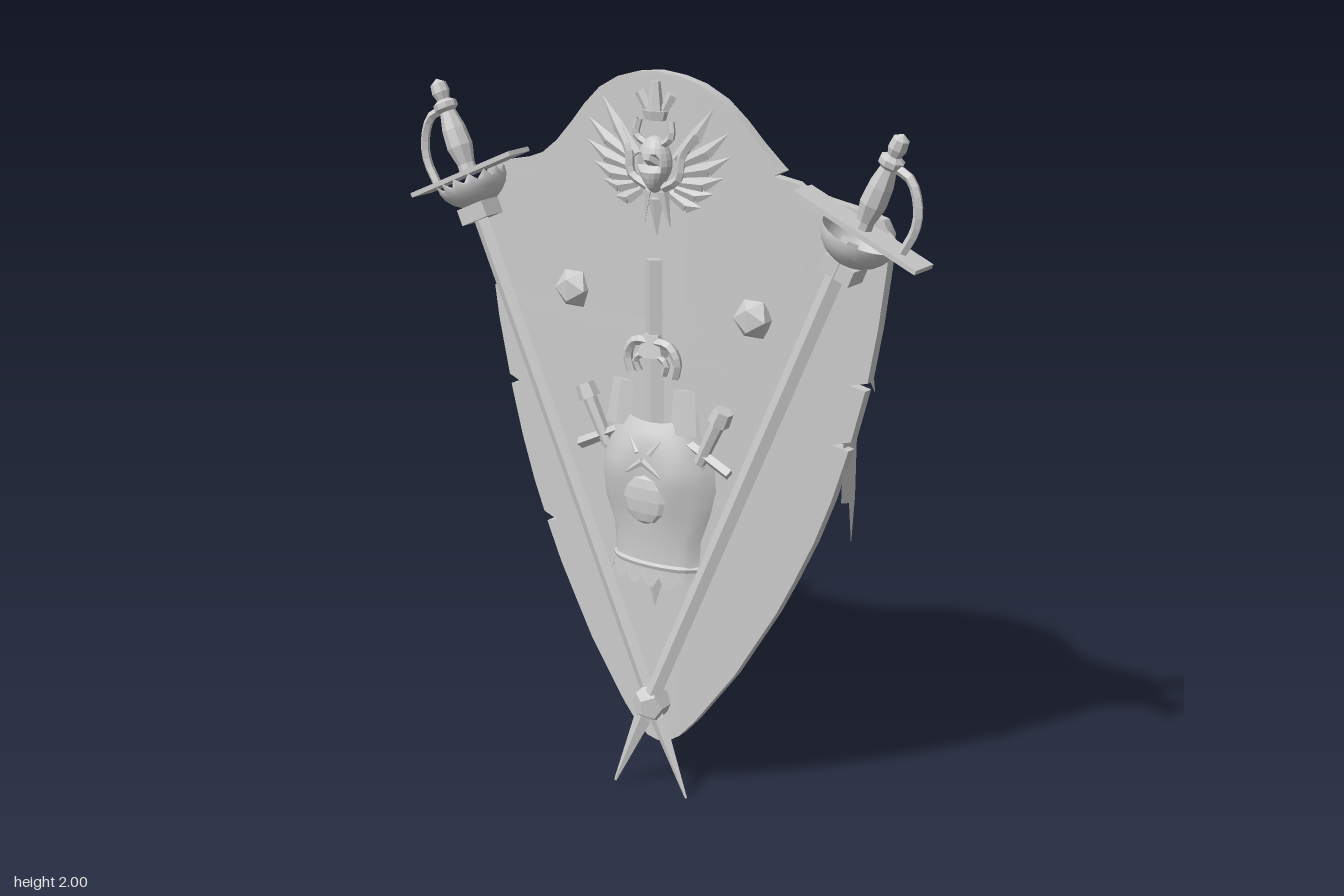
import * as THREE from 'three';
import { toCreasedNormals } from 'three/addons/utils/BufferGeometryUtils.js';

const smooth = new THREE.MeshStandardMaterial({ color: 0xcccccc, side: THREE.DoubleSide });
const flat = new THREE.MeshStandardMaterial({ color: 0xcccccc, flatShading: true, side: THREE.DoubleSide });
const V = (x, y, z = 0) => new THREE.Vector3(x, y, z);

function add(parent, name, geo, mat = flat, pos = V(0, 0)) {
  const m = new THREE.Mesh(geo, mat);
  m.name = name;
  m.position.copy(pos);
  parent.add(m);
  return m;
}
function group(parent, name) {
  const g = new THREE.Group();
  g.name = name;
  parent.add(g);
  return g;
}
// Tapered bar from p to q, flattened in depth
function bar(parent, name, p, q, r0, r1, squash = 0.5, sides = 4) {
  const d = q.clone().sub(p);
  const geo = new THREE.CylinderGeometry(r1, r0, d.length(), sides).scale(1, 1, squash);
  const m = add(parent, name, geo, flat, p.clone().add(q).multiplyScalar(0.5));
  m.quaternion.setFromUnitVectors(V(0, 1), d.normalize());
  return m;
}
function tube(parent, name, pts, r, segs = 10) {
  return add(parent, name, new THREE.TubeGeometry(new THREE.CatmullRomCurve3(pts), segs, r, 5));
}
// Skin over rings listed bottom to top
function loft(rings, closed, crease) {
  const n = rings[0].length, idx = [];
  for (let j = 0; j < rings.length - 1; j++)
    for (let i = 0; i < (closed ? n : n - 1); i++) {
      const k = (i + 1) % n, a = j * n + i, b = j * n + k, c = b + n, d = a + n;
      idx.push(a, b, c, a, c, d);
    }
  const geo = new THREE.BufferGeometry().setFromPoints(rings.flat());
  geo.setIndex(idx);
  return toCreasedNormals(geo, crease);
}
function lerpProfile(profile, y) {
  const i = Math.max(1, profile.findIndex(p => p[0] >= y));
  const [y0, w0] = profile[i - 1], [y1, w1] = profile[i];
  return w0 + (w1 - w0) * (y - y0) / (y1 - y0);
}

const frontZ = x => 0.055 - 0.08 * Math.pow(Math.abs(x) / 0.62, 1.5);

// Bowed plate with nicks cut in its edges
function shield(root) {
  const profile = [[0.135, 0], [0.142, 0.035], [0.165, 0.07], [0.22, 0.12], [0.3, 0.18], [0.38, 0.24], [0.48, 0.3],
    [0.58, 0.36], [0.68, 0.41], [0.8, 0.465], [0.92, 0.51], [1.05, 0.55], [1.25, 0.6], [1.4, 0.625], [1.55, 0.643],
    [1.64, 0.648], [1.675, 0.63], [1.695, 0.57], [1.715, 0.48], [1.74, 0.41], [1.78, 0.355], [1.84, 0.295],
    [1.89, 0.25], [1.94, 0.195], [1.975, 0.13], [1.992, 0.07], [2, 0]];
  const nicks = { left: [1.35, 1.075, 0.7], right: [1.24, 1.075, 1.76] };
  const ys = profile.map(p => p[0]);
  for (const y of [...nicks.left, ...nicks.right]) ys.push(y - 0.012, y, y + 0.014);
  const rows = [...new Set(ys)].sort((a, b) => a - b);
  const N = 20;
  const rings = rows.map(y => {
    const w = lerpProfile(profile, y);
    const wl = w - (nicks.left.includes(y) ? 0.045 : 0), wr = w - (nicks.right.includes(y) ? 0.045 : 0);
    const front = [], back = [];
    for (let i = 0; i <= N; i++) {
      const x = -wl + (wl + wr) * i / N;
      front.push(V(x, y, frontZ(x)));
      back.unshift(V(x, y, frontZ(x) - 0.03));
    }
    return [...front, ...back];
  });
  add(root, 'shieldPlate', loft(rings, true, 0.6), smooth);

  for (const s of [-1, 1]) {
    const stud = add(root, 'stud', new THREE.IcosahedronGeometry(0.057, 0), flat, V(s * 0.29, 1.385, 0.035));
    stud.scale.z = 0.75;
  }
  add(root, 'crossingBoss', new THREE.DodecahedronGeometry(0.054, 0), flat, V(0, 0.26, 0.085));
  bar(root, 'bossBolt', V(0, 0.26, 0.06), V(0, 0.26, 0), 0.036, 0.028, 1, 6);

  // Torn scrap hanging behind the edge
  const scrap = new THREE.Shape([[0.03, 1.45], [0.06, 1.43], [0.13, 1.34], [0.155, 1.26], [0.17, 1.18], [0.14, 1.22],
    [0.085, 1.3], [0.08, 0.92], [0.065, 0.79], [0.05, 0.91], [0.01, 0.92]].map(p => new THREE.Vector2(...p)));
  add(root, 'tornScrap', new THREE.ShapeGeometry(scrap).rotateY(Math.PI / 2), smooth, V(0.537, 0, 0));
}

// Basket-hilted sword, tip at the local origin; side -1 has its hilt on -x
function sword(root, side) {
  const g = group(root, side < 0 ? 'rightSword' : 'leftSword');
  g.position.set(-side * 0.115, 0, 0.065);
  g.rotation.z = -side * 0.417;
  const bz = side < 0 ? 0.018 : 0.036;
  bar(g, 'bladeTip', V(0, 0, bz), V(0, 0.24, bz), 0.004, 0.027, 0.45);
  bar(g, 'blade', V(0, 0.24, bz), V(0, 1.8, bz), 0.024, 0.026, 0.5);
  add(g, 'bladeClip', new THREE.BoxGeometry(0.095, 0.045, 0.07), flat, V(0, 1.715, 0.012));

  const dome = new THREE.SphereGeometry(0.1, 28, 6, 0, Math.PI * 2, Math.PI / 2, Math.PI / 2).scale(1, 0.88, 1);
  if (side < 0) { // chipped rim
    const p = dome.attributes.position;
    for (let i = 1; i < 28; i += 2) p.setXYZ(i, p.getX(i) * 0.87, -0.02, p.getZ(i) * 0.87);
    dome.computeVertexNormals();
  }
  add(g, 'cupGuard', dome, smooth, V(0, 1.815, 0));
  add(g, 'crossGuard', new THREE.BoxGeometry(0.385, 0.013, 0.085), flat, V(0, 1.825, 0));

  const grip = [[0, 1.82], [0.026, 1.82], [0.024, 1.85], [0.036, 1.9], [0.033, 1.95], [0.022, 2], [0.033, 2.01],
    [0.033, 2.025], [0.018, 2.035], [0.025, 2.055], [0.022, 2.08], [0, 2.095]];
  add(g, 'grip', new THREE.LatheGeometry(grip.map(p => new THREE.Vector2(...p)), 8));
  tube(g, 'knuckleBow', [[0.01, 2.01], [0.065, 2.005], [0.112, 1.955], [0.13, 1.9], [0.124, 1.83]]
    .map(([x, y]) => V(side * x, y)), 0.013);
}

// Winged skull with crown
function emblem(root) {
  const g = group(root, 'wingedSkullEmblem');
  const feathers = [[0.06, 1.78, 0.175, 1.92], [0.08, 1.77, 0.22, 1.86], [0.08, 1.745, 0.225, 1.8],
    [0.07, 1.72, 0.205, 1.745], [0.06, 1.705, 0.175, 1.7], [0.045, 1.69, 0.135, 1.66]];
  for (const s of [-1, 1]) {
    for (const [x0, y0, x1, y1] of feathers) {
      const a = V(s * x0, y0, 0.06), b = V(s * x1, y1, 0.052), m = a.clone().lerp(b, 0.55);
      m.y -= 0.012;
      bar(g, 'featherRoot', a, m, 0.012, 0.019);
      bar(g, 'featherTip', m, b, 0.019, 0.001);
    }
    tube(g, 'wingArm', [V(s * 0.025, 1.7, 0.06), V(s * 0.075, 1.73, 0.065), V(s * 0.085, 1.79, 0.062),
      V(s * 0.125, 1.85, 0.055)], 0.013);
    tube(g, 'horn', [V(s * 0.02, 1.81, 0.065), V(s * 0.055, 1.835, 0.07), V(s * 0.05, 1.875, 0.065)], 0.011, 6);
    bar(g, 'tailFeather', V(s * 0.025, 1.69, 0.06), V(s * 0.04, 1.6, 0.055), 0.018, 0.002);
    bar(g, 'crownSide', V(s * 0.025, 1.9, 0.06), V(s * 0.052, 1.945, 0.06), 0.012, 0.016);
  }
  bar(g, 'tailPoint', V(0, 1.67, 0.062), V(0, 1.57, 0.055), 0.026, 0.001);
  bar(g, 'crownBand', V(0, 1.875, 0.06), V(0, 1.9, 0.06), 0.032, 0.042, 0.6, 6);
  bar(g, 'crownTop', V(0, 1.9, 0.06), V(0, 1.975, 0.06), 0.024, 0.013, 0.8, 6);

  // Skull: narrow jaw, pressed-in eyes and nose
  const geo = new THREE.SphereGeometry(1, 18, 14), p = geo.attributes.position;
  for (let i = 0; i < p.count; i++) {
    let x = p.getX(i), y = p.getY(i), z = p.getZ(i);
    const pit = (cx, cy, r) => z > 0 && Math.hypot(Math.abs(x) - cx, y - cy) < r;
    if (pit(0.4, 0.05, 0.24) || pit(0, -0.36, 0.14)) z -= 0.45;
    if (y < -0.1) x *= 1 + 0.55 * (y + 0.1);
    p.setXYZ(i, x * 0.05, y * 0.075, z * 0.042);
  }
  add(g, 'skull', geo, flat, V(0, 1.76, 0.062));
}

// Breastplate over a sword and two daggers
function trophy(root) {
  const g = group(root, 'armourTrophy');
  bar(g, 'swordGrip', V(0, 1.29, 0.07), V(0, 1.51, 0.07), 0.027, 0.027, 0.7, 4);
  bar(g, 'swordCollar', V(0, 1.25, 0.075), V(0, 1.31, 0.075), 0.046, 0.026, 0.7, 6);
  bar(g, 'swordBlade', V(0, 0.64, 0.068), V(0, 1.26, 0.068), 0.034, 0.03, 0.5);
  bar(g, 'swordPoint', V(0, 0.545, 0.068), V(0, 0.64, 0.068), 0.002, 0.034, 0.5);
  for (const s of [-1, 1]) {
    tube(g, 'clawGuard', [V(0, 1.29, 0.08), V(s * 0.055, 1.285, 0.08), V(s * 0.08, 1.245, 0.078),
      V(s * 0.07, 1.2, 0.075)], 0.014, 8);
    tube(g, 'innerClaw', [V(s * 0.02, 1.26, 0.085), V(s * 0.05, 1.235, 0.085), V(s * 0.04, 1.205, 0.08)], 0.01, 5);
    bar(g, 'daggerGrip', V(s * 0.15, 0.98, 0.075), V(s * 0.215, 1.11, 0.075), 0.017, 0.021, 0.9, 6);
    bar(g, 'daggerPommel', V(s * 0.21, 1.1, 0.075), V(s * 0.228, 1.137, 0.075), 0.031, 0.027, 0.9, 6);
    bar(g, 'daggerGuard', V(s * 0.245, 0.965, 0.075), V(s * 0.11, 1.03, 0.075), 0.016, 0.014, 0.9);
    bar(g, 'daggerBlade', V(s * 0.15, 0.98, 0.072), V(s * 0.04, 0.75, 0.072), 0.02, 0.004);
    bar(g, 'shoulderStrap', V(s * 0.105, 1.05, 0.085), V(s * 0.098, 1.17, 0.072), 0.042, 0.034, 0.35);
  }

  // Cuirass shell: [height, half width, bulge]; ragged hem and scooped neck
  const rows = [[0.625, 0.15, 0.05], [0.67, 0.138, 0.046], [0.75, 0.142, 0.046], [0.83, 0.172, 0.055],
    [0.9, 0.185, 0.068], [0.96, 0.18, 0.07], [1.02, 0.148, 0.062], [1.07, 0.135, 0.05], [1.12, 0.13, 0.035]];
  const N = 16;
  const rings = rows.map(([y, w, d], j) => Array.from({ length: N + 1 }, (_, i) => {
    const a = i / N * 2 - 1, bow = Math.pow(1 - a * a, 0.6);
    let yy = y;
    if (j === 0) yy += (i % 3 === 1 ? 0.025 : -0.005) - 0.01 * bow;
    if (j >= 7) yy -= 0.045 * (j - 6) * 0.55 * bow;
    const chest = j >= 4 && j <= 5 ? 0.008 * Math.cos(a * Math.PI * 2) : 0;
    return V(w * a, yy, 0.055 + d * bow - chest);
  }));
  add(g, 'breastplate', loft(rings, false, 0.5), smooth);
  add(g, 'breastplateBoss', new THREE.SphereGeometry(0.068, 10, 6).scale(1, 1, 0.22), flat, V(0, 0.86, 0.116));
  for (const s of [-1, 1]) {
    bar(g, 'chestRidge', V(0, 0.97, 0.126), V(s * 0.065, 0.925, 0.12), 0.011, 0.004);
    bar(g, 'chestRidge', V(s * 0.02, 0.99, 0.124), V(s * 0.05, 1.03, 0.112), 0.009, 0.002);
  }
  tube(g, 'hemBand', rings[1].filter((_, i) => i % 2 === 0), 0.009, 16);
}

export function createModel() {
  const root = new THREE.Group();
  root.name = 'wallShield';
  shield(root);
  sword(root, -1);
  sword(root, 1);
  emblem(root);
  trophy(root);
  return root;
}
